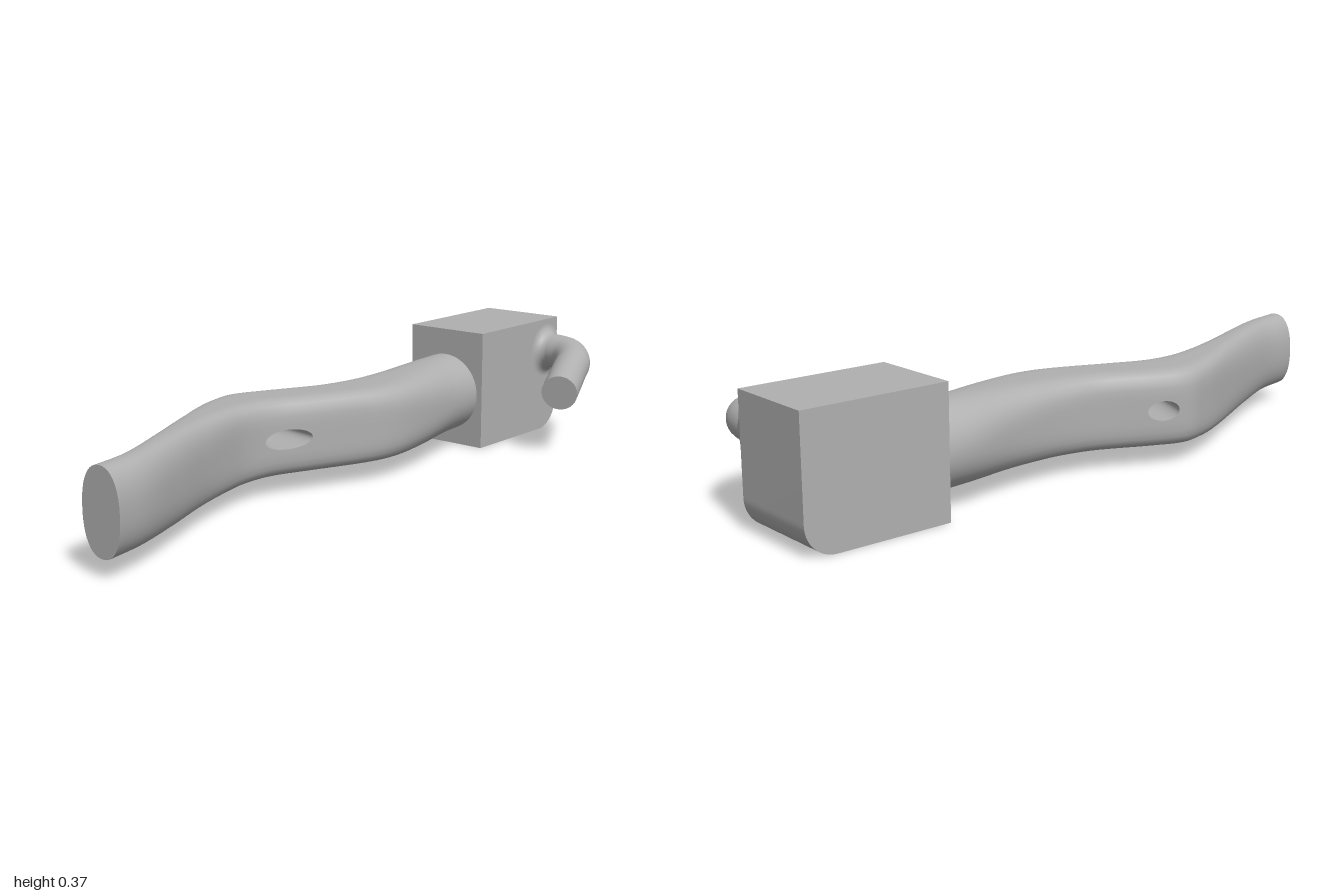
import * as THREE from 'three';
import { mergeVertices, toCreasedNormals } from 'three/addons/utils/BufferGeometryUtils.js';

// Arm sections: x, back z, front z, half height, squareness
const SECTIONS = [
  [-1, -0.025, 0.108, 0.115, 2.3],
  [-0.877, -0.05, 0.08, 0.115, 2.4],
  [-0.717, -0.115, 0.015, 0.117, 2.7],
  [-0.556, -0.19, -0.053, 0.117, 3.2],
  [-0.396, -0.263, -0.104, 0.114, 4.5],
  [-0.316, -0.293, -0.113, 0.112, 5],
  [-0.235, -0.311, -0.1, 0.111, 5],
  [-0.14, -0.28, -0.06, 0.11, 5],
  [0.005, -0.213, 0, 0.11, 4.8],
  [0.085, -0.198, 0.03, 0.11, 4.4],
  [0.166, -0.195, 0.04, 0.111, 3.8],
  [0.3, -0.208, 0.028, 0.114, 2.9],
  [0.46, -0.241, 0.003, 0.118, 2.2],
  [0.59, -0.257, -0.01, 0.12, 2],
];
const X0 = -1, X1 = 0.59, NX = 90, NR = 48, MID_Y = 0.165;

// Smooth interpolation of one column of the section table
function column(x, c) {
  const S = SECTIONS, last = S.length - 1;
  let i = 0;
  while (i < last - 1 && x > S[i + 1][0]) i++;
  const slope = (k) => {
    const a = S[Math.max(k - 1, 0)], b = S[Math.min(k + 1, last)];
    return (b[c] - a[c]) / (b[0] - a[0]);
  };
  const h = S[i + 1][0] - S[i][0], t = (x - S[i][0]) / h, t2 = t * t, t3 = t2 * t;
  return S[i][c] * (2 * t3 - 3 * t2 + 1) + S[i + 1][c] * (3 * t2 - 2 * t3)
    + h * (slope(i) * (t3 - 2 * t2 + t) + slope(i + 1) * (t3 - t2));
}

// Point on the arm: angle 0 faces the front, PI the back
function armPoint(x, angle) {
  const back = column(x, 1), front = column(x, 2), n = column(x, 4);
  const c = Math.cos(angle), s = Math.sin(angle);
  const r = Math.pow(Math.abs(c) ** n + Math.abs(s) ** n, -1 / n);
  return [x, MID_Y + column(x, 3) * s * r, (back + front) / 2 + (front - back) / 2 * c * r];
}

const gridX = (i) => X0 + (X1 - X0) * i / NX;
const gridA = (j) => j * 2 * Math.PI / NR;

// Slanted eyelet: opening in the front and the back, each inside a block of grid cells
const HOLES = [
  { x: -0.21, a: 0, rx: 0.07, ra: 0.25, i0: 39, i1: 51, j0: -3, j1: 3 },
  { x: -0.155, a: Math.PI, rx: 0.044, ra: 0.25, i0: 44, i1: 53, j0: 21, j1: 27 },
];
const rim = (h, t) => [h.x + h.rx * Math.cos(t), h.a + h.ra * Math.sin(t)];

function fromTriangles(list) {
  const g = new THREE.BufferGeometry();
  g.setAttribute('position', new THREE.Float32BufferAttribute(list, 3));
  const merged = mergeVertices(g, 1e-4);
  merged.computeVertexNormals();
  return merged;
}

function armGeometry() {
  const out = [];
  const quad = (a, b, c, d) => out.push(...a, ...b, ...c, ...a, ...c, ...d);
  for (let i = 0; i < NX; i++) {
    for (let j = -12; j < 36; j++) {
      if (HOLES.some((h) => i >= h.i0 && i < h.i1 && j >= h.j0 && j < h.j1)) continue;
      const P = (di, dj) => armPoint(gridX(i + di), gridA(j + dj));
      quad(P(0, 0), P(1, 0), P(1, 1), P(0, 1));
    }
  }
  // Blend each square block edge into its oval rim
  for (const h of HOLES) {
    const edge = [];
    for (let i = h.i0; i < h.i1; i++) edge.push([i, h.j0]);
    for (let j = h.j0; j < h.j1; j++) edge.push([h.i1, j]);
    for (let i = h.i1; i > h.i0; i--) edge.push([i, h.j1]);
    for (let j = h.j1; j > h.j0; j--) edge.push([h.i0, j]);
    const P = (k, t) => {
      const [i, j] = edge[k % edge.length], x = gridX(i), a = gridA(j);
      const [ex, ea] = rim(h, Math.atan2((a - h.a) / h.ra, (x - h.x) / h.rx));
      return armPoint(x + (ex - x) * t, a + (ea - a) * t);
    };
    for (let k = 0; k < edge.length; k++) {
      for (let s = 0; s < 3; s++) {
        quad(P(k, s / 3), P(k + 1, s / 3), P(k + 1, (s + 1) / 3), P(k, (s + 1) / 3));
      }
    }
  }
  return fromTriangles(out);
}

// Wall joining the two eyelet openings
function eyeletGeometry() {
  const out = [], n = 48, [f, b] = HOLES;
  const F = (k) => armPoint(...rim(f, k * 2 * Math.PI / n));
  const B = (k) => armPoint(...rim(b, -k * 2 * Math.PI / n));
  for (let k = 0; k < n; k++) {
    out.push(...F(k), ...F(k + 1), ...B(k + 1), ...F(k), ...B(k + 1), ...B(k));
  }
  return fromTriangles(out);
}

// Flat end of the arm
function armEndGeometry() {
  const out = [], mid = [X0, MID_Y, (column(X0, 1) + column(X0, 2)) / 2];
  for (let j = 0; j < NR; j++) {
    out.push(...mid, ...armPoint(X0, gridA(j)), ...armPoint(X0, gridA(j + 1)));
  }
  return fromTriangles(out);
}

// Block with one rounded lower corner
function blockGeometry() {
  const l = 0.575, r = 1, top = 0.365, c = 0.09;
  const s = new THREE.Shape();
  s.moveTo(l, 0);
  s.lineTo(r - c, 0);
  s.absarc(r - c, c, c, -Math.PI / 2, 0, false);
  s.lineTo(r, top);
  s.lineTo(l, top);
  s.closePath();
  const g = new THREE.ExtrudeGeometry(s, { depth: 0.275, bevelEnabled: false, curveSegments: 16 });
  g.translate(0, 0, -0.265);
  return toCreasedNormals(g, 0.5);
}

export function createModel() {
  const group = new THREE.Group();
  const grey = new THREE.MeshStandardMaterial({ color: 0xb0b0b0, side: THREE.DoubleSide });
  grey.name = 'grey';
  const add = (name, geometry) => {
    const m = new THREE.Mesh(geometry, grey);
    m.name = name;
    group.add(m);
    return m;
  };

  add('arm', armGeometry());
  add('armEnd', armEndGeometry());
  add('eyelet', eyeletGeometry());
  add('block', blockGeometry());

  // Bent peg leaving the front of the block
  const path = new THREE.CatmullRomCurve3([
    [0.937, 0.262, -0.02], [0.937, 0.262, 0.05], [0.922, 0.259, 0.105],
    [0.875, 0.249, 0.152], [0.8, 0.233, 0.185], [0.645, 0.2, 0.25],
  ].map((p) => new THREE.Vector3(...p)));
  const radius = 0.055;
  add('peg', new THREE.TubeGeometry(path, 48, radius, 32));
  const end = add('pegEnd', new THREE.CircleGeometry(radius, 32));
  end.position.copy(path.getPoint(1));
  end.lookAt(path.getPoint(1).add(path.getTangent(1)));

  // Fillet at the peg root, trimmed flush with the block side
  const profile = [];
  for (let k = 0; k <= 8; k++) {
    const t = k / 8 * Math.PI / 2;
    profile.push(new THREE.Vector2(radius + 0.03 * (1 - Math.sin(t)), 0.03 * (1 - Math.cos(t))));
  }
  const fillet = new THREE.LatheGeometry(profile, 40);
  fillet.rotateX(Math.PI / 2).translate(0.937, 0.262, 0.01);
  const pos = fillet.attributes.position;
  for (let i = 0; i < pos.count; i++) pos.setX(i, Math.min(pos.getX(i), 1));
  add('pegFillet', fillet);

  return group;
}
